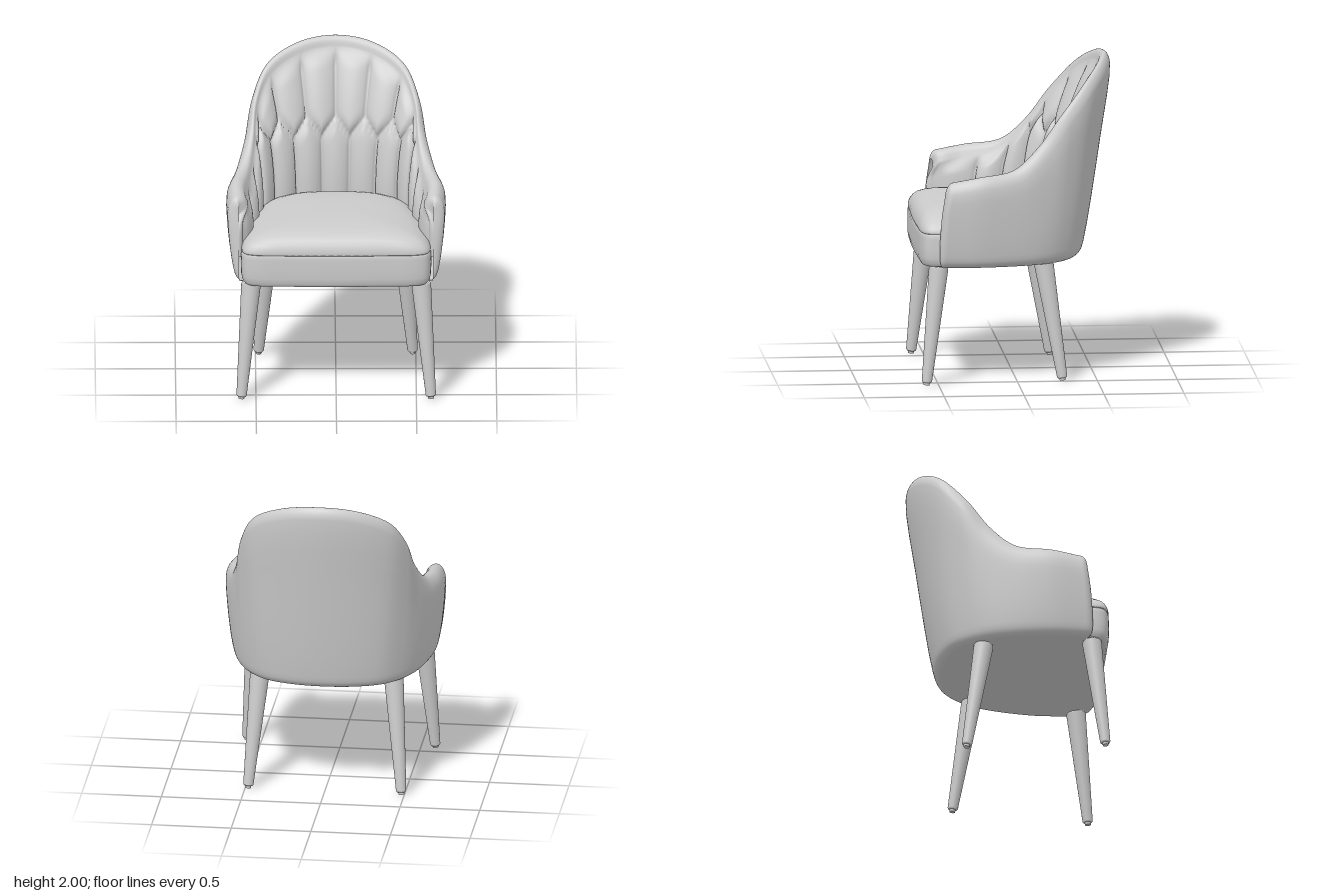
import * as THREE from 'three';
import { mergeVertices } from 'three/addons/utils/BufferGeometryUtils.js';

const V = (x, y, z) => new THREE.Vector3(x, y, z);
const { lerp, smoothstep } = THREE.MathUtils;
const material = new THREE.MeshStandardMaterial({ color: 0xcccccc, roughness: 0.8, side: THREE.DoubleSide });

// Skin a list of equally long point rows with a smooth surface
function skin(rows) {
  const n = rows[0].length, pos = [], index = [];
  rows.forEach(row => row.forEach(p => pos.push(p.x, p.y, p.z)));
  for (let i = 0; i < rows.length - 1; i++) {
    for (let j = 0; j < n - 1; j++) {
      const a = i * n + j, b = a + 1, c = a + n, d = c + 1;
      index.push(a, b, c, b, d, c);
    }
  }
  let g = new THREE.BufferGeometry();
  g.setAttribute('position', new THREE.Float32BufferAttribute(pos, 3));
  g.setIndex(index);
  g = mergeVertices(g, 1e-5);
  g.computeVertexNormals();
  return g;
}

// Curve through a half list (centre first) and its mirror image; t runs -7..7
function mirroredCurve(half) {
  const pts = half.map(p => V(...p));
  const other = pts.slice(1).reverse().map(p => V(-p.x, p.y, p.z));
  const curve = new THREE.CatmullRomCurve3([...other, ...pts]);
  return t => curve.getPoint((t + 7) / 14);
}

// Guide lines of the shell from back centre to arm front
const innerLine = mirroredCurve([
  [0, 1.05, -0.30], [0.16, 1.05, -0.28], [0.31, 1.05, -0.23], [0.42, 1.05, -0.15],
  [0.465, 1.05, -0.04], [0.495, 1.05, 0.11], [0.53, 1.05, 0.28], [0.55, 1.05, 0.43]]);
const baseLine = mirroredCurve([
  [0, 0.82, -0.45], [0.20, 0.82, -0.43], [0.37, 0.82, -0.37], [0.48, 0.82, -0.27],
  [0.555, 0.82, -0.15], [0.61, 0.82, 0.02], [0.645, 0.82, 0.24], [0.64, 0.82, 0.45]]);
const rimLine = mirroredCurve([
  [0, 2.0, -0.618], [0.24, 1.968, -0.575], [0.435, 1.865, -0.47], [0.528, 1.69, -0.33],
  [0.57, 1.50, -0.19], [0.625, 1.355, -0.02], [0.678, 1.315, 0.22], [0.672, 1.285, 0.42]]);

// Padded channels: a lower row and an upper row shifted by half a channel
function padding(t, y, top) {
  const a = Math.abs(t);
  const w = a < 5.5 ? a : 5.5 + (a - 5.5) / 1.5;
  const split = 1.42 + 0.1 * (1 - 2 * Math.abs(w - Math.round(w)));
  const wave = Math.abs(y < split ? Math.cos(Math.PI * w) : Math.sin(Math.PI * w));
  const edge = Math.min(1, Math.abs(y - split) / 0.09);
  const fade = smoothstep(top - y, 0, 0.1);
  return fade * (0.05 * Math.sqrt(wave * edge * (2 - edge)) - 0.03);
}

// One cross-section: underside, outer face, rim, padded inner face
function section(t) {
  const inn = innerLine(t), base = baseLine(t), rim = rimLine(t);
  const n = inn.clone().sub(base).setY(0).normalize();
  const at = (p, y, inset) => V(p.x + n.x * inset, y, p.z + n.z * inset);
  const thick = lerp(0.078, 0.125, smoothstep(Math.abs(t), 2, 6));
  const shoulder = rim.y - 0.07;
  const mid = base.clone().lerp(rim, 0.55);
  const row = new THREE.CatmullRomCurve3([
    at(inn, 0.74, 0), at(base, 0.74, 0.055), at(base, 0.765, 0.02), base,
    at(mid, mid.y, -0.015), at(rim, shoulder, 0), at(rim, rim.y - 0.015, 0.22 * thick),
    at(rim, rim.y, 0.48 * thick), at(rim, rim.y - 0.018, 0.8 * thick), at(rim, shoulder, thick)
  ]).getPoints(36);
  const rimIn = at(rim, shoulder, thick);
  const steps = 44;
  for (let k = 1; k <= steps; k++) {
    const y = lerp(shoulder, 0.9, k / steps);
    const f = Math.max(0, (y - 1.05) / (shoulder - 1.05));
    const p = inn.clone().lerp(rimIn, Math.pow(f, 2));
    row.push(at(p, y, padding(t, y, shoulder)));
  }
  return row;
}

// Shell with rounded arm fronts
function shellGeometry() {
  const rows = [], perChannel = 18, total = 14 * perChannel;
  for (let i = 0; i <= total; i++) rows.push(section(-7 + i / perChannel));
  const cap = (row, side, a) => {
    const c = Math.cos(a);
    return row.map(p => {
      const shrink = p.y > 1 ? 0.2 : 0.04;
      return V(lerp(side * 0.605, p.x, c), 1 + (p.y - 1) * (1 - shrink + shrink * c), p.z + 0.045 * Math.sin(a));
    });
  };
  const first = rows[0], last = rows[total];
  for (let k = 1; k <= 8; k++) {
    const a = k / 8 * Math.PI / 2;
    rows.unshift(cap(first, -1, a));
    rows.push(cap(last, 1, a));
  }
  return skin(rows);
}

// Loft of the seat outline, from a list of [scale, y] steps, sagging by "droop" at the sides
function seatLoft(steps, droop) {
  const half = [[0.3, 0.613], [0.5, 0.602], [0.57, 0.57], [0.592, 0.48], [0.565, 0.2],
    [0.52, 0], [0.46, -0.18], [0.3, -0.31]];
  const pts = [V(0, 0, 0.618), ...half.map(([x, z]) => V(x, 0, z)), V(0, 0, -0.35),
    ...half.slice().reverse().map(([x, z]) => V(-x, 0, z))];
  const outline = new THREE.CatmullRomCurve3(pts, true).getPoints(108);
  return skin(steps.map(([s, y]) => outline.map(p => {
    const sag = droop * Math.max(0, y - 0.95) * Math.pow(p.x * s / 0.59, 4);
    return V(p.x * s, y - sag, 0.15 + (p.z - 0.15) * s);
  })));
}

export function createModel() {
  const model = new THREE.Group();
  const add = (name, geometry, parent = model) => {
    const mesh = new THREE.Mesh(geometry, material);
    mesh.name = name;
    parent.add(mesh);
    return mesh;
  };

  add('paddedShell', shellGeometry());

  // Seat: lower base and domed cushion meeting in a fine seam
  add('seatBase', seatLoft([[0, 0.742], [0.93, 0.742], [0.965, 0.747], [0.988, 0.765], [1, 0.80],
    [1.002, 0.86], [1, 0.92], [0.997, 0.941], [0.99, 0.95], [0.95, 0.952]], 0));
  add('seatCushion', seatLoft([[0.95, 0.952], [0.99, 0.952], [0.996, 0.958], [0.996, 0.972], [0.988, 0.995],
    [0.968, 1.02], [0.935, 1.045], [0.88, 1.067], [0.8, 1.081], [0.7, 1.09], [0.55, 1.097], [0.4, 1.102],
    [0.2, 1.105], [0, 1.106]], 0.35));

  // Splayed tapering legs with small feet
  const addLeg = (name, top, foot) => {
    const leg = new THREE.Group();
    leg.name = name;
    const axis = top.clone().sub(foot), length = axis.length();
    leg.position.copy(foot);
    leg.quaternion.setFromUnitVectors(V(0, 1, 0), axis.normalize());
    const profile = [[0, 0.018], [0.026, 0.018], [0.032, 0.026], [0.061, length - 0.012],
      [0.056, length], [0, length]].map(p => new THREE.Vector2(...p));
    add('legPost', new THREE.LatheGeometry(profile, 28), leg);
    const glide = add('footGlide', new THREE.CylinderGeometry(0.02, 0.018, 0.02, 20), leg);
    glide.position.y = 0.012;
    model.add(leg);
  };
  for (const [side, x] of [['left', 1], ['right', -1]]) {
    addLeg(side + 'FrontLeg', V(0.53 * x, 0.74, 0.495), V(0.592 * x, 0, 0.577));
    addLeg(side + 'BackLeg', V(0.42 * x, 0.74, -0.17), V(0.482 * x, 0, -0.285));
  }
  return model;
}
